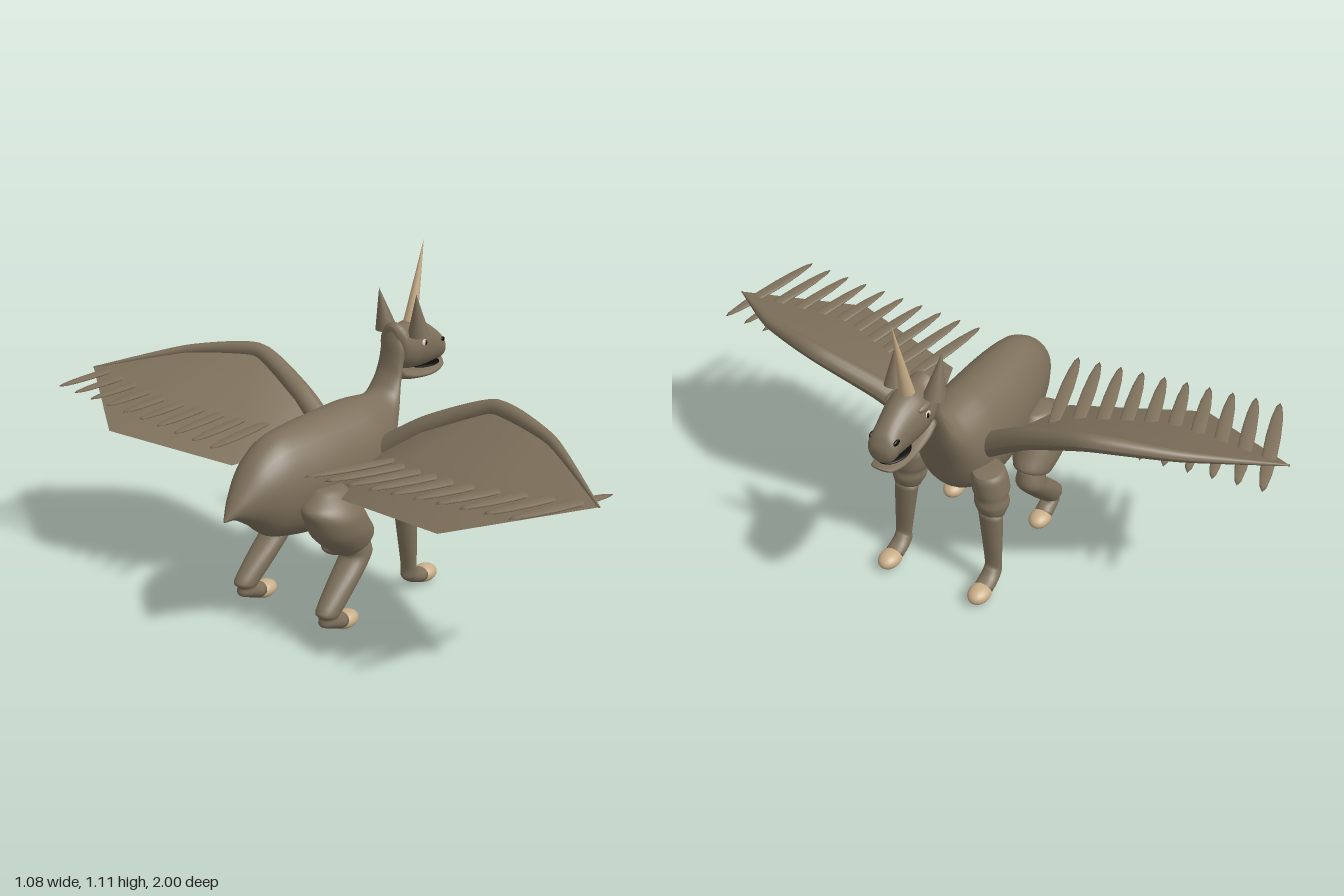
import * as THREE from 'three';

const material = (name, color, side = THREE.FrontSide) => {
  const m = new THREE.MeshStandardMaterial({ color, side });
  m.name = name;
  return m;
};

export function createModel() {
  const model = new THREE.Group();
  const hide = material('olive hide', 0x7d705b, THREE.DoubleSide);
  const horny = material('pale horn', 0xc8ad88);
  const black = material('black', 0x0b0a09);
  const white = material('eye white', 0xd6cdbd);

  const add = (name, geometry, mat, x = 0, y = 0, z = 0) => {
    const mesh = new THREE.Mesh(geometry, mat);
    mesh.name = name;
    mesh.position.set(x, y, z);
    model.add(mesh);
    return mesh;
  };

  // Closed indexed skin over equal rings of points, with pointed caps
  const skin = (rings) => {
    const n = rings[0].length, pos = [], idx = [];
    rings.forEach((r) => r.forEach((p) => pos.push(p.x, p.y, p.z)));
    for (let i = 0; i < rings.length - 1; i++) {
      for (let j = 0; j < n; j++) {
        const a = i * n + j, b = i * n + ((j + 1) % n);
        idx.push(a, b, a + n, b, b + n, a + n);
      }
    }
    [0, rings.length - 1].forEach((i) => {
      const c = new THREE.Vector3();
      rings[i].forEach((p) => c.addScaledVector(p, 1 / n));
      const k = pos.length / 3;
      pos.push(c.x, c.y, c.z);
      for (let j = 0; j < n; j++) {
        const a = i * n + j, b = i * n + ((j + 1) % n);
        if (i === 0) idx.push(k, b, a);
        else idx.push(k, a, b);
      }
    });
    const g = new THREE.BufferGeometry();
    g.setAttribute('position', new THREE.Float32BufferAttribute(pos, 3));
    g.setIndex(idx);
    g.computeVertexNormals();
    return g;
  };

  // Elliptical sections: [edge1 x, edge1 y, edge2 x, edge2 y, half width, centre z]
  const loft = (rows, z = 0, steps = 4, n = 28) => {
    const e1 = new THREE.CatmullRomCurve3(rows.map((r) => new THREE.Vector3(r[0], r[1], r[4])), false, 'catmullrom', 0.4);
    const e2 = new THREE.CatmullRomCurve3(rows.map((r) => new THREE.Vector3(r[2], r[3], r[5] || 0)), false, 'catmullrom', 0.4);
    const rings = [], count = (rows.length - 1) * steps;
    for (let i = 0; i <= count; i++) {
      const p = e1.getPoint(i / count), q = e2.getPoint(i / count), ring = [];
      for (let j = 0; j < n; j++) {
        const t = (j / n) * Math.PI * 2, c = Math.cos(t) / 2;
        ring.push(new THREE.Vector3(
          (p.x + q.x) / 2 + (p.x - q.x) * c,
          (p.y + q.y) / 2 + (p.y - q.y) * c,
          Math.sign(z) * q.z + Math.sin(t) * Math.max(p.z, 0.002)));
      }
      rings.push(ring);
    }
    return skin(rings);
  };

  const ellipsoid = (name, mat, x, y, z, rx, ry, rz) => {
    const g = new THREE.SphereGeometry(1, 20, 14).scale(rx, ry, rz);
    return add(name, g, mat, x, y, z);
  };

  // Cone running from a base point to a tip
  const spike = (name, mat, base, tip, radius) => {
    const a = new THREE.Vector3(...base), d = new THREE.Vector3(...tip).sub(a);
    const g = new THREE.ConeGeometry(radius, d.length(), 20, 4).translate(0, d.length() / 2, 0);
    const mesh = add(name, g, mat, ...base);
    mesh.quaternion.setFromUnitVectors(new THREE.Vector3(0, 1, 0), d.normalize());
  };

  // Body with pointed tail and upright neck
  add('bodyAndNeck', loft([
    [-0.54, 0.44, -0.54, 0.434, 0.004], [-0.49, 0.51, -0.5, 0.43, 0.035],
    [-0.42, 0.59, -0.43, 0.385, 0.075], [-0.33, 0.643, -0.36, 0.33, 0.105],
    [-0.2, 0.655, -0.22, 0.295, 0.13], [-0.05, 0.66, -0.06, 0.275, 0.138],
    [0.05, 0.662, 0.08, 0.3, 0.135], [0.12, 0.655, 0.16, 0.365, 0.115],
    [0.17, 0.65, 0.197, 0.465, 0.09], [0.205, 0.66, 0.235, 0.56, 0.07],
    [0.238, 0.705, 0.255, 0.635, 0.055], [0.249, 0.75, 0.28, 0.7, 0.048],
    [0.254, 0.8, 0.3, 0.745, 0.046], [0.265, 0.845, 0.32, 0.78, 0.04],
  ]), hide);

  // Head
  add('head', loft([
    [0.262, 0.85, 0.265, 0.78, 0.025], [0.28, 0.865, 0.28, 0.72, 0.054],
    [0.32, 0.85, 0.325, 0.697, 0.065], [0.37, 0.855, 0.38, 0.69, 0.067],
    [0.42, 0.842, 0.43, 0.686, 0.058], [0.47, 0.815, 0.475, 0.688, 0.05],
    [0.51, 0.785, 0.51, 0.69, 0.047], [0.527, 0.757, 0.525, 0.7, 0.033],
    [0.532, 0.74, 0.531, 0.715, 0.01],
  ]), hide);
  add('lowerJaw', loft([
    [0.277, 0.715, 0.277, 0.672, 0.044], [0.33, 0.695, 0.33, 0.66, 0.05],
    [0.4, 0.68, 0.41, 0.65, 0.05], [0.47, 0.68, 0.47, 0.648, 0.046],
    [0.52, 0.684, 0.515, 0.661, 0.035], [0.541, 0.691, 0.539, 0.683, 0.012],
  ]), hide);
  ellipsoid('mouthGap', black, 0.45, 0.688, 0, 0.066, 0.008, 0.046);
  spike('horn', horny, [0.367, 0.835, 0], [0.437, 1.112, 0], 0.025);

  // Wing panel corners on the +z side
  const shoulder = [0.075, 0.5, 0.1], forearm = [0.115, 0.61, 0.26], elbow = [0.155, 0.705, 0.48];
  const wrist = [0.06, 0.685, 0.73], tip = [-0.14, 0.618, 0.998];
  const corner = [-0.39, 0.53, 0.65], root = [-0.27, 0.478, 0.22];

  for (const s of [1, -1]) {
    const side = s > 0 ? 'Near' : 'Far';
    const mirror = (p) => new THREE.Vector3(p[0], p[1], p[2] * s);

    // Face details
    spike('ear' + side, hide, [0.325, 0.825, 0.066 * s], [0.296, 0.965, 0.075 * s], 0.036);
    ellipsoid('brow' + side, hide, 0.36, 0.812, 0.053 * s, 0.036, 0.013, 0.014);
    ellipsoid('eye' + side, white, 0.362, 0.787, 0.062 * s, 0.015, 0.012, 0.007);
    ellipsoid('pupil' + side, black, 0.366, 0.787, 0.067 * s, 0.006, 0.009, 0.004);
    ellipsoid('nostril' + side, black, 0.495, 0.765, 0.041 * s, 0.016, 0.009, 0.006);

    // Front leg
    add('frontThigh' + side, loft([
      [0.18, 0.45, 0.075, 0.458, 0.045, 0.135], [0.187, 0.43, 0.066, 0.44, 0.056, 0.138],
      [0.187, 0.385, 0.06, 0.385, 0.06, 0.145], [0.183, 0.36, 0.083, 0.365, 0.054, 0.15],
      [0.187, 0.335, 0.072, 0.335, 0.057, 0.152], [0.178, 0.305, 0.1, 0.295, 0.045, 0.155],
    ], s), hide);
    add('frontShin' + side, loft([
      [0.178, 0.31, 0.11, 0.305, 0.042, 0.155], [0.172, 0.2, 0.12, 0.2, 0.036, 0.163],
      [0.167, 0.1, 0.131, 0.09, 0.03, 0.17], [0.178, 0.083, 0.127, 0.052, 0.03, 0.17],
      [0.198, 0.067, 0.16, 0.028, 0.032, 0.17], [0.23, 0.058, 0.2, 0.014, 0.032, 0.17],
    ], s), hide);
    ellipsoid('frontHoof' + side, horny, 0.24, 0.033, 0.17 * s, 0.05, 0.029, 0.037);

    // Hind leg
    add('hindThigh' + side, loft([
      [-0.16, 0.475, -0.26, 0.482, 0.035, 0.13], [-0.135, 0.445, -0.33, 0.435, 0.07, 0.14],
      [-0.115, 0.405, -0.325, 0.395, 0.085, 0.15], [-0.085, 0.355, -0.295, 0.33, 0.082, 0.155],
      [-0.062, 0.318, -0.215, 0.262, 0.062, 0.16], [-0.085, 0.295, -0.19, 0.25, 0.045, 0.16],
    ], s), hide);
    add('hindShin' + side, loft([
      [-0.085, 0.3, -0.19, 0.265, 0.045, 0.16], [-0.07, 0.24, -0.175, 0.235, 0.05, 0.162],
      [-0.135, 0.165, -0.24, 0.175, 0.046, 0.166], [-0.22, 0.085, -0.315, 0.1, 0.036, 0.17],
      [-0.235, 0.075, -0.3, 0.075, 0.03, 0.17], [-0.22, 0.072, -0.3, 0.048, 0.031, 0.17],
      [-0.195, 0.06, -0.22, 0.014, 0.032, 0.17],
    ], s), hide);
    ellipsoid('hindHoof' + side, horny, -0.187, 0.033, 0.17 * s, 0.05, 0.029, 0.037);

    // Tapered wing arm along the leading edge
    const arm = new THREE.CatmullRomCurve3(
      [shoulder, forearm, elbow, wrist, tip].map(mirror), false, 'catmullrom', 0.3);
    const tube = new THREE.TubeGeometry(arm, 40, 1, 14);
    const pos = tube.attributes.position, v = new THREE.Vector3();
    for (let i = 0; i < pos.count; i++) {
      const u = Math.floor(i / 15) / 40, c = arm.getPointAt(u);
      const r = u < 0.5 ? 0.042 - 0.032 * u : 0.026 - 0.046 * (u - 0.5);
      v.fromBufferAttribute(pos, i).sub(c).multiplyScalar(r).add(c);
      pos.setXYZ(i, v.x, v.y, v.z);
    }
    tube.computeVertexNormals();
    add('wingArm' + side, tube, hide);
    ellipsoid('wingShoulder' + side, hide, 0.075, 0.505, 0.1 * s, 0.04, 0.035, 0.04);

    // Wing panel, stretched from the arm to the trailing edge
    const pts = [shoulder, forearm, elbow, wrist, tip, corner, root].map(mirror);
    const panel = new THREE.BufferGeometry().setFromPoints(pts);
    const faces = [0, 1, 6, 1, 2, 6, 2, 5, 6, 2, 3, 5, 3, 4, 5];
    panel.setIndex(s > 0 ? faces : faces.reverse());
    panel.computeVertexNormals();
    add('wingPanel' + side, panel, hide);

    // Row of feathers crossing the panel
    for (let i = 0; i < 10; i++) {
      const g = new THREE.SphereGeometry(1, 14, 8).scale(0.205, 0.007, 0.023);
      const f = add('feather' + side + (i + 1), g, hide,
        -0.2, 0.563 + 0.0063 * i, (0.232 + 0.0765 * i) * s);
      f.rotation.set(0, -0.22 * s, -0.085);
    }
  }
  return model;
}
